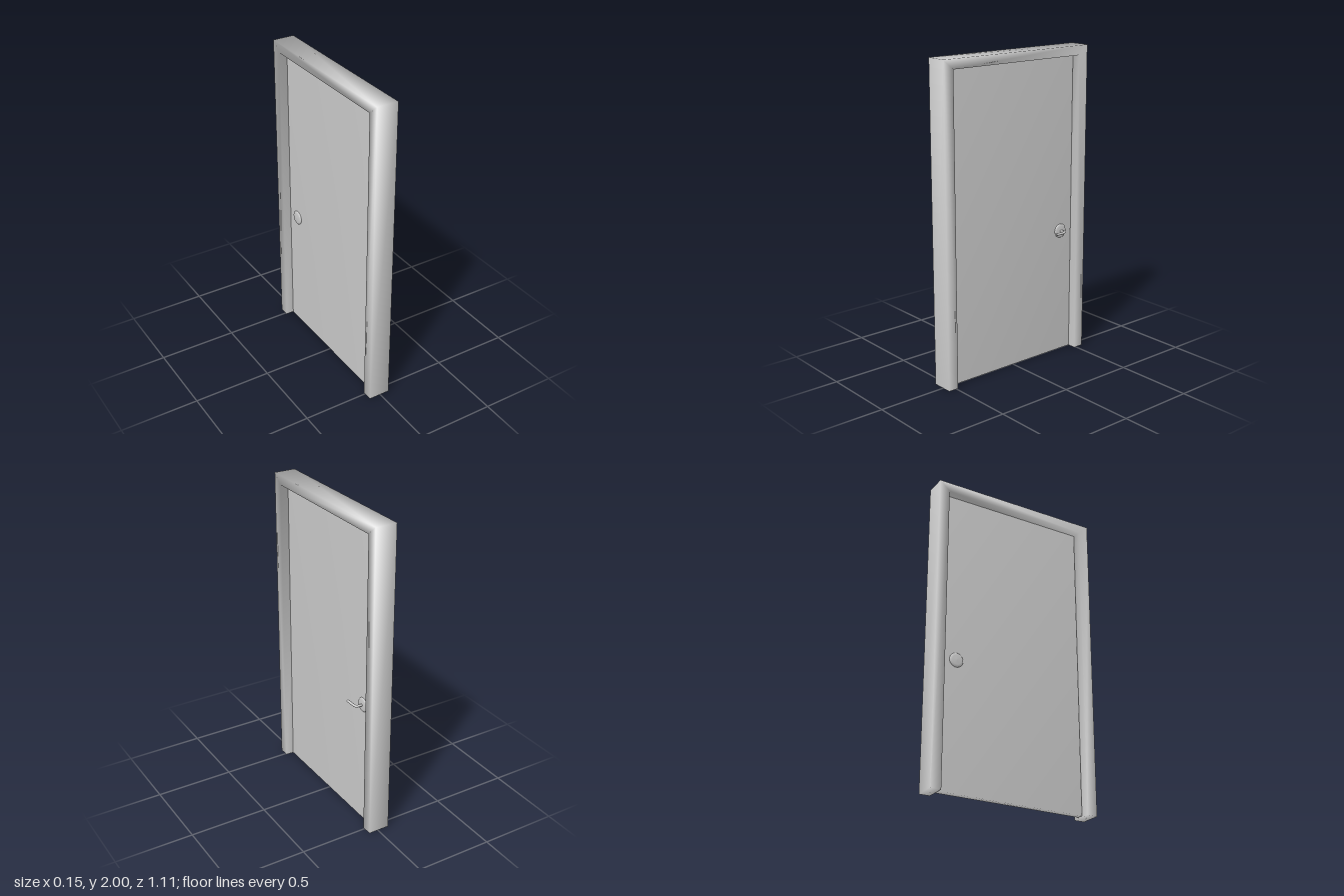
import * as THREE from 'three';
import { mergeVertices } from 'three/addons/utils/BufferGeometryUtils.js';

const CENTRE_X = -0.007; // middle of the wall thickness
const FRAME_DEPTH = 0.138;
const DOOR_DEPTH = 0.04;
const HANDLE = { y: 0.82, z: -0.388 };

const material = new THREE.MeshStandardMaterial({ color: 0xcccccc });

function part(name, geometry, parent) {
  const mesh = new THREE.Mesh(geometry, material);
  mesh.name = name;
  parent.add(mesh);
  return mesh;
}

// Shares corners so that normals run smoothly over the edges
function softened(geometry) {
  geometry.deleteAttribute('normal');
  geometry.deleteAttribute('uv');
  const merged = mergeVertices(geometry, 1e-4);
  merged.computeVertexNormals();
  return merged;
}

// Jambs and head as one U-shaped outline, extruded through the wall
function frameGeometry() {
  const outer = 0.555, inner = 0.487, top = 2, innerTop = 1.94;
  const shape = new THREE.Shape([
    [-outer, 0], [-inner, 0], [-inner, innerTop], [inner, innerTop],
    [inner, 0], [outer, 0], [outer, top], [-outer, top],
  ].map(([x, y]) => new THREE.Vector2(x, y)));
  const geometry = new THREE.ExtrudeGeometry(shape, { depth: FRAME_DEPTH, bevelEnabled: false });
  geometry.translate(0, 0, -FRAME_DEPTH / 2).rotateY(Math.PI / 2);
  return softened(geometry);
}

// Round plate with a slightly domed face, its axis pointing out along +x
function rosetteGeometry() {
  const profile = [[0.045, 0], [0.045, 0.004], [0.041, 0.008], [0.03, 0.01], [0, 0.012]]
    .map(([r, h]) => new THREE.Vector2(r, h));
  return new THREE.LatheGeometry(profile, 32).rotateZ(-Math.PI / 2);
}

export function createModel() {
  const model = new THREE.Group();
  model.name = 'door';

  part('frame', frameGeometry(), model).position.x = CENTRE_X;

  // Door leaf, with a small gap all round
  const leaf = softened(new THREE.BoxGeometry(DOOR_DEPTH, 1.93, 0.96));
  part('doorLeaf', leaf, model).position.set(CENTRE_X, 0.97, 0);

  // A round plate on both faces
  for (const side of [1, -1]) {
    const plate = part(side > 0 ? 'handlePlate' : 'backPlate', rosetteGeometry(), model);
    plate.position.set(CENTRE_X + side * DOOR_DEPTH / 2, HANDLE.y, HANDLE.z);
    plate.rotation.y = side > 0 ? 0 : Math.PI;
  }

  // Lever: out of the plate, round a bend, then along the door
  const handle = new THREE.Group();
  handle.name = 'leverHandle';
  handle.position.set(0, HANDLE.y, HANDLE.z);
  model.add(handle);
  const v = (x, z) => new THREE.Vector3(x, 0, z);
  const path = new THREE.CurvePath();
  path.add(new THREE.LineCurve3(v(0.014, 0), v(0.05, 0)));
  path.add(new THREE.QuadraticBezierCurve3(v(0.05, 0), v(0.064, 0), v(0.066, 0.022)));
  path.add(new THREE.LineCurve3(v(0.066, 0.022), v(0.068, 0.085)));
  part('lever', new THREE.TubeGeometry(path, 36, 0.008, 16), handle);
  part('leverEnd', new THREE.CircleGeometry(0.008, 16), handle).position.set(0.068, 0, 0.085);

  return model;
}
